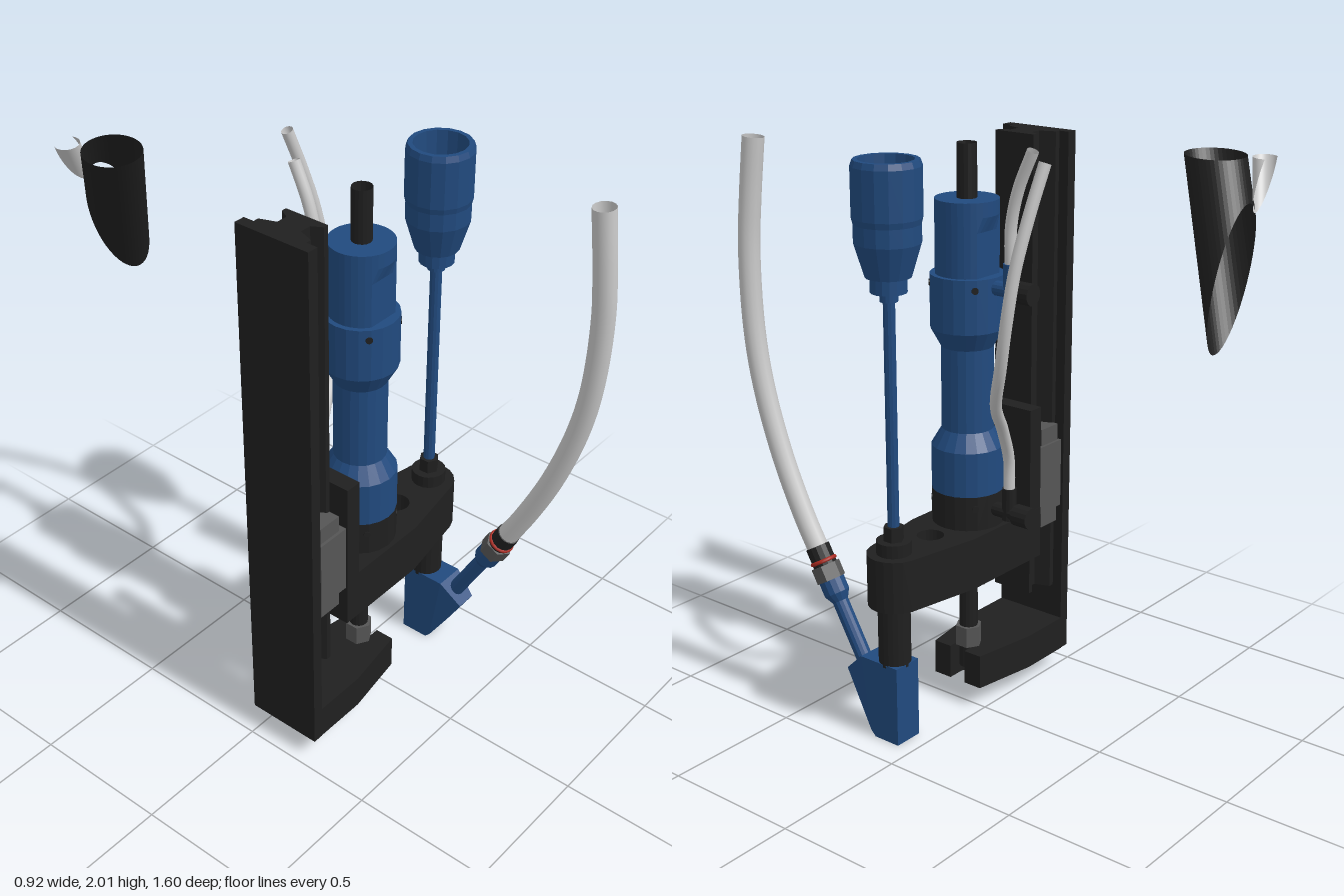
import * as THREE from 'three';

const mat = (name, color, opts = {}) => new THREE.MeshStandardMaterial({ name, color, ...opts });

export function createModel() {
  const flat = { flatShading: true };
  const both = { side: THREE.DoubleSide };
  const black = mat('black metal', 0x1f1f1f, { ...flat, ...both });
  const blue = mat('blue metal', 0x214a7e, { ...flat, ...both });
  const grey = mat('grey steel', 0x555555, flat);
  const hose = mat('light hose', 0xc8c8c8, both);
  const red = mat('red ring', 0xac2a20);

  const model = new THREE.Group();
  const MID = 0.112;                 // centre plane in z
  const CX = -0.046, PX = 0.343;     // cylinder and probe axes in x

  const add = (name, geo, material, x = 0, y = 0, z = 0, parent = model) => {
    const mesh = new THREE.Mesh(geo, material);
    mesh.name = name;
    mesh.position.set(x, y, z);
    parent.add(mesh);
    return mesh;
  };
  const box = (name, m, x0, x1, y0, y1, z0, z1) =>
    add(name, new THREE.BoxGeometry(x1 - x0, y1 - y0, z1 - z0), m, (x0 + x1) / 2, (y0 + y1) / 2, (z0 + z1) / 2);
  // Upright cylinder between two heights
  const post = (name, m, x, z, r, y0, y1, sides = 20, parent = model, rTop = r) =>
    add(name, new THREE.CylinderGeometry(rTop, r, y1 - y0, sides), m, x, (y0 + y1) / 2, z, parent);
  // Cylinder lying along z
  const arm = (name, m, x, y, r, z0, z1) =>
    add(name, new THREE.CylinderGeometry(r, r, z1 - z0, 14).rotateX(Math.PI / 2), m, x, y, (z0 + z1) / 2);
  const lathe = (name, m, profile, x, z, sides = 20) =>
    add(name, new THREE.LatheGeometry(profile.map(p => new THREE.Vector2(...p)), sides), m, x, 0, z);
  const shapeOf = pts => new THREE.Shape(pts.map(p => new THREE.Vector2(...p)));
  // Plan outline, given as one half and mirrored about the centre plane
  const plan = (name, m, half, y0, y1, holes = []) => {
    const shape = shapeOf([...half.map(([x, w]) => [x, -w]), ...half.slice().reverse()]);
    for (const [x, r] of holes) shape.holes.push(new THREE.Path().absarc(x, 0, r, 0, Math.PI * 2, true));
    const geo = new THREE.ExtrudeGeometry(shape, { depth: y1 - y0, bevelEnabled: false, curveSegments: 12 });
    return add(name, geo.rotateX(-Math.PI / 2), m, 0, y0, MID);
  };
  const tube = (name, r, pts) => {
    const curve = new THREE.CatmullRomCurve3(pts.map(p => new THREE.Vector3(...p)));
    add(name, new THREE.TubeGeometry(curve, 40, r, 14), hose);
  };

  // Column: back plate and waisted guide rail
  box('backPlate', black, -0.455, -0.415, 0.08, 2, -0.026, 0.253);
  plan('guideRail', black, [[-0.415, 0.1], [-0.395, 0.1], [-0.375, 0.045], [-0.335, 0.045],
    [-0.315, 0.08], [-0.297, 0.08]], 0.33, 2);

  // Carriage: two jaws and a face, with narrower end caps
  for (const [name, y0, y1, w, x0, x1] of [['carriageBody', 0.66, 0.91, 0.135, -0.405, -0.28],
    ['carriageCaps', 0.6, 0.97, 0.125, -0.395, -0.305]]) {
    for (const s of [-1, 1]) {
      const jaw = shapeOf([[x0, s * w], [x1, s * w], [x1, s * 0.085], [-0.315, s * 0.085],
        [-0.335, s * 0.05], [-0.37, s * 0.05], [-0.39, s * 0.105], [x0, s * 0.105]]);
      const geo = new THREE.ExtrudeGeometry(jaw, { depth: y1 - y0, bevelEnabled: false });
      add(name, geo.rotateX(-Math.PI / 2), grey, 0, y0, MID);
    }
  }
  box('carriageFace', grey, -0.296, -0.28, 0.66, 0.91, MID - 0.135, MID + 0.135);
  box('carriagePlate', black, -0.28, -0.22, 0.51, 1.065, -0.026, 0.253);

  // Tapered bracket with a through hole and rounded end
  plan('bracket', black, [[-0.28, 0.14], [0.09, 0.14], [0.36, 0.093], [0.39, 0.081], [0.415, 0.058],
    [0.43, 0.03], [0.435, 0]], 0.505, 0.69, [[0.157, 0.047]]);

  // Foot with a slotted end
  plan('foot', black, [[-0.42, 0.14], [-0.22, 0.14], [0.018, 0.103], [0.018, 0.033],
    [CX, 0.033], [CX - 0.023, 0.024], [CX - 0.033, 0]], 0.08, 0.205);

  // Lower spindle and nuts
  post('spindle', black, CX, MID, 0.033, 0.12, 0.52, 16);
  post('footNut', grey, CX, MID, 0.048, 0.205, 0.28, 6);
  post('bracketNut', grey, CX, MID, 0.075, 0.455, 0.505, 6);

  // Main cylinder
  post('cylinderBase', black, CX, MID, 0.126, 0.69, 0.812);
  lathe('cylinderBody', blue, [[0, 0.812], [0.126, 0.812], [0.126, 0.97], [0.09, 1.03], [0.09, 1.32],
    [0.126, 1.385], [0.126, 1.57], [0, 1.57]], CX, MID);
  add('pistonRod', new THREE.CylinderGeometry(0.034, 0.034, 0.18, 16, 1, true), black, CX, 1.91, MID);

  // Head with wrench flats pressed into front and back
  const head = new THREE.CylinderGeometry(0.108, 0.108, 0.25, 32, 5);
  const hp = head.attributes.position;
  for (let i = 0; i < hp.count; i++) {
    if (hp.getY(i) < 0.04) hp.setZ(i, THREE.MathUtils.clamp(hp.getZ(i), -0.09, 0.09));
  }
  add('cylinderHead', head, blue, CX, 1.695, MID);

  // Four screw recesses around each flange
  for (const y of [0.77, 1.535]) {
    for (const a of [0.68, -0.68, Math.PI - 0.68, Math.PI + 0.68]) {
      const dot = add('flangeScrew', new THREE.CylinderGeometry(0.012, 0.012, 0.008, 10), black,
        CX + 0.124 * Math.sin(a), y, MID + 0.124 * Math.cos(a));
      dot.rotation.set(Math.PI / 2, 0, -a);
    }
  }

  // Air valves on the back of the cylinder
  for (const [y, m] of [[1.535, blue], [0.755, black]]) {
    arm('valveArm', m, CX, y, 0.025, -0.11, 0.02);
    post('valveRiser', m, CX, -0.07, 0.025, y - 0.025, y + 0.09, 14);
    arm('valveKnob', black, CX, y, 0.037, -0.164, -0.1);
  }
  tube('lowerAirHose', 0.02, [[CX, 0.82, -0.07], [-0.04, 0.95, -0.072], [0.03, 1.08, -0.1], [0.13, 1.2, -0.15],
    [0.19, 1.35, -0.215], [0.21, 1.52, -0.255], [0.195, 1.68, -0.275], [0.15, 1.85, -0.295], [0.1, 2, -0.314]]);
  tube('upperAirHose', 0.02, [[CX, 1.6, -0.07], [CX, 1.75, -0.072], [CX, 1.87, -0.1], [CX, 2, -0.157]]);

  // Probe: cup, rod, collar and shaft
  lathe('probeCup', blue, [[0, 1.55], [0.03, 1.55], [0.03, 1.58], [0.06, 1.58], [0.06, 1.63], [0.075, 1.63],
    [0.108, 1.74], [0.108, 1.8], [0.113, 1.82], [0.113, 1.98], [0.106, 2], [0.09, 2], [0.085, 1.85], [0, 1.85]],
  PX, MID, 16);
  post('cupCentre', black, PX, MID, 0.022, 1.85, 1.87, 12);
  post('probeRod', blue, PX, MID, 0.02, 0.72, 1.56, 12);
  post('probeCollar', black, PX, MID, 0.06, 0.69, 0.735, 20);
  post('probeNut', black, PX, MID, 0.035, 0.735, 0.785, 6);
  post('probeShaft', black, PX, 0.117, 0.056, 0.28, 0.51, 20);

  // Nozzle: slanted block, narrowing towards its front edge
  const side = shapeOf([[0.062, 0], [0.165, 0], [0.185, 0.02], [0.305, 0.215], [0.225, 0.29], [0.062, 0.29]]);
  const nozzle = new THREE.ExtrudeGeometry(side, { depth: 0.11, bevelEnabled: false });
  nozzle.rotateY(-Math.PI / 2).translate(0.055, 0, 0);
  const np = nozzle.attributes.position;
  for (let i = 0; i < np.count; i++) if (np.getZ(i) > 0.25) np.setX(i, np.getX(i) * 0.7);
  add('nozzle', nozzle, blue, PX, 0, 0);

  // Hose connector, leaning forward
  const joint = new THREE.Group();
  joint.name = 'hoseConnector';
  joint.position.set(0.345, 0.24, 0.25);
  joint.rotation.x = Math.PI / 6;
  model.add(joint);
  post('feedPipe', blue, 0, 0, 0.028, -0.03, 0.25, 14, joint);
  post('pipeCone', blue, 0, 0, 0.028, 0.23, 0.26, 14, joint, 0.045);
  post('pipeSocket', blue, 0, 0, 0.045, 0.26, 0.31, 14, joint);
  post('unionNut', grey, 0, 0, 0.052, 0.31, 0.365, 6, joint);
  post('hoseFerrule', black, 0, 0, 0.042, 0.365, 0.435, 14, joint);
  const ring = add('sealRing', new THREE.TorusGeometry(0.041, 0.007, 8, 20), red, 0, 0.38, 0, joint);
  ring.rotation.x = Math.PI / 2;
  tube('feedHose', 0.038, [[0.345, 0.59, 0.452], [0.347, 0.72, 0.525], [0.346, 0.92, 0.62], [0.342, 1.15, 0.7],
    [0.335, 1.35, 0.742], [0.322, 1.62, 0.762], [0.312, 1.8, 0.755], [0.303, 2, 0.737]]);

  // Slanted conduits, cut flush at y = 2 and z = -0.8
  const cutTube = (name, m, centre, dir, r) => {
    const c = new THREE.Vector3(...centre), d = new THREE.Vector3(...dir).normalize();
    const u = new THREE.Vector3(1, 0, 0).cross(d).normalize(), v = d.clone().cross(u);
    const pos = [], idx = [], n = 48;
    for (let i = 0; i <= n; i++) {
      const a = i / n * Math.PI * 2;
      const p = c.clone().addScaledVector(u, r * Math.cos(a)).addScaledVector(v, r * Math.sin(a));
      const t0 = (2 - p.y) / d.y, t1 = Math.max(t0, (-0.8 - p.z) / d.z);
      for (const t of [t0, t1]) pos.push(...p.clone().addScaledVector(d, t).toArray());
      const k = 2 * i;
      if (i < n && t1 > t0) idx.push(k, k + 1, k + 2, k + 1, k + 3, k + 2);
    }
    const geo = new THREE.BufferGeometry();
    geo.setAttribute('position', new THREE.Float32BufferAttribute(pos, 3));
    geo.setIndex(idx);
    geo.computeVertexNormals();
    add(name, geo, m);
  };
  cutTube('cableConduit', black, [-0.357, 2, -0.632], [0.38, -0.86, -0.42], 0.097);
  cutTube('conduitHose', hose, [-0.41, 2, -0.778], [0.5, -0.85, -0.35], 0.04);

  return model;
}
